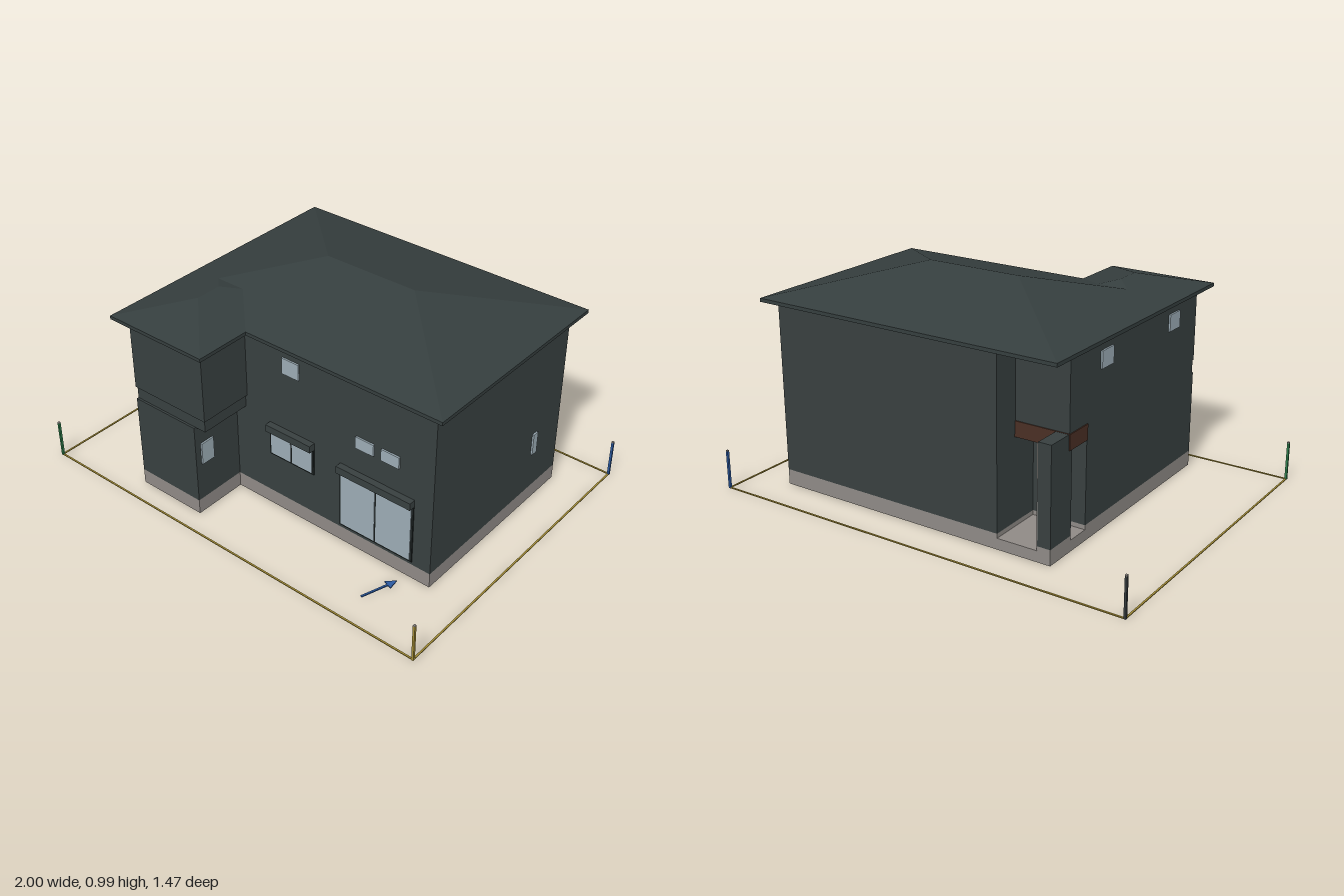
import * as THREE from 'three';
import { ConvexGeometry } from 'three/addons/geometries/ConvexGeometry.js';

const mat = (name, color) => {
  const m = new THREE.MeshStandardMaterial({ color });
  m.name = name;
  return m;
};

export function createModel() {
  const house = new THREE.Group();
  house.name = 'house';
  const wall = mat('dark wall', 0x384040);
  const roof = mat('dark roof', 0x353e3e);
  const concrete = mat('grey concrete', 0x8f8a86);
  const glass = mat('pale glass', 0x9cacb5);
  const wood = mat('brown wood', 0x4a2f24);
  const frame = mat('black frame', 0x1e2424);
  const green = mat('green', 0x2c7a48);
  const gold = mat('gold', 0xa08a35);
  const blue = mat('blue', 0x2c5aa0);
  const black = mat('charcoal', 0x33383a);

  const add = (name, geometry, material, parent = house) => {
    const m = new THREE.Mesh(geometry, material);
    m.name = name;
    parent.add(m);
    return m;
  };
  // Box given by its extents on each axis
  const box = (name, material, x0, x1, y0, y1, z0, z1, parent) => {
    const m = add(name, new THREE.BoxGeometry(x1 - x0, y1 - y0, z1 - z0), material, parent);
    m.position.set((x0 + x1) / 2, (y0 + y1) / 2, (z0 + z1) / 2);
    return m;
  };
  // Upright prism over a floor plan of [x, z] points
  const toPoints = (plan) => plan.map(([x, z]) => new THREE.Vector2(x, -z));
  const prism = (name, material, plan, y0, y1, hole) => {
    const shape = new THREE.Shape(toPoints(plan));
    if (hole) shape.holes.push(new THREE.Path(toPoints(hole)));
    const g = new THREE.ExtrudeGeometry(shape, { depth: y1 - y0, bevelEnabled: false });
    g.rotateX(-Math.PI / 2).translate(0, y0, 0);
    return add(name, g, material);
  };
  // Shrinks a right-angled floor plan by t
  const inset = (plan, t) => plan.map((p, i) => {
    const a = plan[(i + plan.length - 1) % plan.length];
    const b = plan[(i + 1) % plan.length];
    const d1 = [Math.sign(p[0] - a[0]), Math.sign(p[1] - a[1])];
    const d2 = [Math.sign(b[0] - p[0]), Math.sign(b[1] - p[1])];
    return [p[0] - t * (d1[1] + d2[1]), p[1] + t * (d1[0] + d2[0])];
  });
  // Floor plan: wing edge x, wing front z, porch recess z
  const plan = (wx, wz, pz) => [
    [wx, wz], [-0.56, wz], [-0.56, pz], [-0.31, pz],
    [-0.31, -0.55], [0.81, -0.55], [0.81, 0.375], [wx, 0.375],
  ];

  // Foundation and storeys
  const ground = plan(-0.22, 0.63, -0.29);
  const inner = inset(ground, 0.035);
  prism('foundation', concrete, ground, 0, 0.07, inner);
  prism('groundFloorUnderside', wood, inset(ground, 0.02), 0.055, 0.072);
  prism('lowerWalls', wall, ground, 0.07, 0.45);
  prism('floorBand', wall, plan(-0.165, 0.62, -0.42), 0.45, 0.51);
  prism('upperWalls', wall, plan(-0.155, 0.63, -0.42), 0.51, 0.856);

  // Hipped roofs, all slopes at the same pitch
  const hipRoof = (name, x0, x1, z0, z1) => {
    const h = Math.min(x1 - x0, z1 - z0) / 2;
    const pts = [];
    for (const y of [0.846, 0.862])
      for (const x of [x0, x1]) for (const z of [z0, z1]) pts.push(new THREE.Vector3(x, y, z));
    const top = 0.862 + h * 0.255;
    pts.push(new THREE.Vector3(x0 + h, top, z0 + h), new THREE.Vector3(x1 - h, top, z1 - h));
    add(name, new ConvexGeometry(pts), roof);
  };
  hipRoof('mainRoof', -0.615, 0.86, -0.605, 0.42);
  hipRoof('wingRoof', -0.615, -0.105, 0.05, 0.68);

  // Corner porch
  box('porchSlab', concrete, -0.56, -0.31, 0, 0.05, -0.55, -0.13);
  box('porchScreenBase', concrete, -0.56, -0.5, 0.05, 0.07, -0.55, -0.4);
  box('porchScreen', wall, -0.56, -0.5, 0.07, 0.51, -0.55, -0.4);
  box('porchScreenLining', concrete, -0.5, -0.495, 0.05, 0.505, -0.548, -0.402);
  box('porchCeiling', wood, -0.56, -0.31, 0.443, 0.45, -0.42, -0.29);
  box('porchFasciaBack', wood, -0.56, -0.31, 0.443, 0.511, -0.425, -0.419);
  box('porchFasciaSide', wood, -0.565, -0.559, 0.443, 0.511, -0.425, -0.29);
  box('porchSoffit', wood, -0.56, -0.31, 0.842, 0.847, -0.55, -0.42);

  // Windows lie in a wall plane: u across, y up
  const window_ = (name, place, u0, u1, y0, y1, panes = 1, hood = false) => {
    const g = new THREE.Group();
    g.name = name;
    const gap = 0.008;
    const w = (u1 - u0 - gap * (panes - 1)) / panes;
    if (hood) {
      const e = 0.009;
      box('windowFrame', frame, u0 - e, u1 + e, y0 - e, y1 + e, -0.002, 0.005, g);
      box('shutterBox', wall, u0 - e, u1 + e, y1 + 0.006, y1 + 0.04, -0.002, 0.03, g);
    }
    for (let i = 0; i < panes; i++) {
      const a = u0 + i * (w + gap);
      box('windowPane', glass, a, a + w, y0, y1, -0.001, 0.008, g);
    }
    place(g);
    house.add(g);
  };
  const front = (g) => { g.position.z = 0.375; };
  const facingLeft = (x) => (g) => { g.position.x = x; g.rotation.y = Math.PI / 2; };
  const facingRight = (x) => (g) => { g.position.x = x; g.rotation.y = -Math.PI / 2; };
  window_('terraceDoor', front, 0.358, 0.712, 0.095, 0.362, 2, true);
  window_('kitchenWindow', front, -0.02, 0.203, 0.28, 0.393, 2, true);
  window_('smallWindowA', front, 0.43, 0.52, 0.52, 0.575);
  window_('smallWindowB', front, 0.557, 0.645, 0.52, 0.575);
  window_('upperWindow', front, 0.05, 0.137, 0.71, 0.785);
  window_('wingWindow', facingLeft(-0.22), -0.6, -0.53, 0.25, 0.355);
  window_('sideWindow', facingLeft(0.81), 0.337, 0.37, 0.25, 0.355);
  for (const z of [-0.15, 0.417])
    window_('rightUpperWindow', facingRight(-0.56), z - 0.045, z + 0.045, 0.71, 0.785);

  // Site boundary: strips and coloured corner posts
  const X = 0.995, Z = 0.73, t = 0.004;
  for (const s of [-1, 1]) {
    box('boundaryLine', gold, -X, X, 0, 0.004, s * Z - t, s * Z + t);
    box('boundaryLine', gold, s * X - t, s * X + t, 0, 0.004, -Z, Z);
  }
  [[-1, 1, green], [1, 1, gold], [1, -1, blue], [-1, -1, black]].forEach(([sx, sz, m]) => {
    const x = sx * X, z = sz * Z, r = 0.005;
    box('cornerPost', m, x - r, x + r, 0, 0.175, z - r, z + r);
    box('cornerPostCap', concrete, x - r, x + r, 0.175, 0.18, z - r, z + r);
  });

  // Flat arrow on the ground, pointing at the house
  const arrow = prism('groundArrow', blue, [
    [-0.004, 0.17], [-0.004, 0.045], [-0.022, 0.045], [0, 0], [0.022, 0.045], [0.004, 0.045], [0.004, 0.17],
  ], 0, 0.006);
  arrow.position.set(0.69, 0, 0.43);
  arrow.rotation.y = -0.33;

  return house;
}
